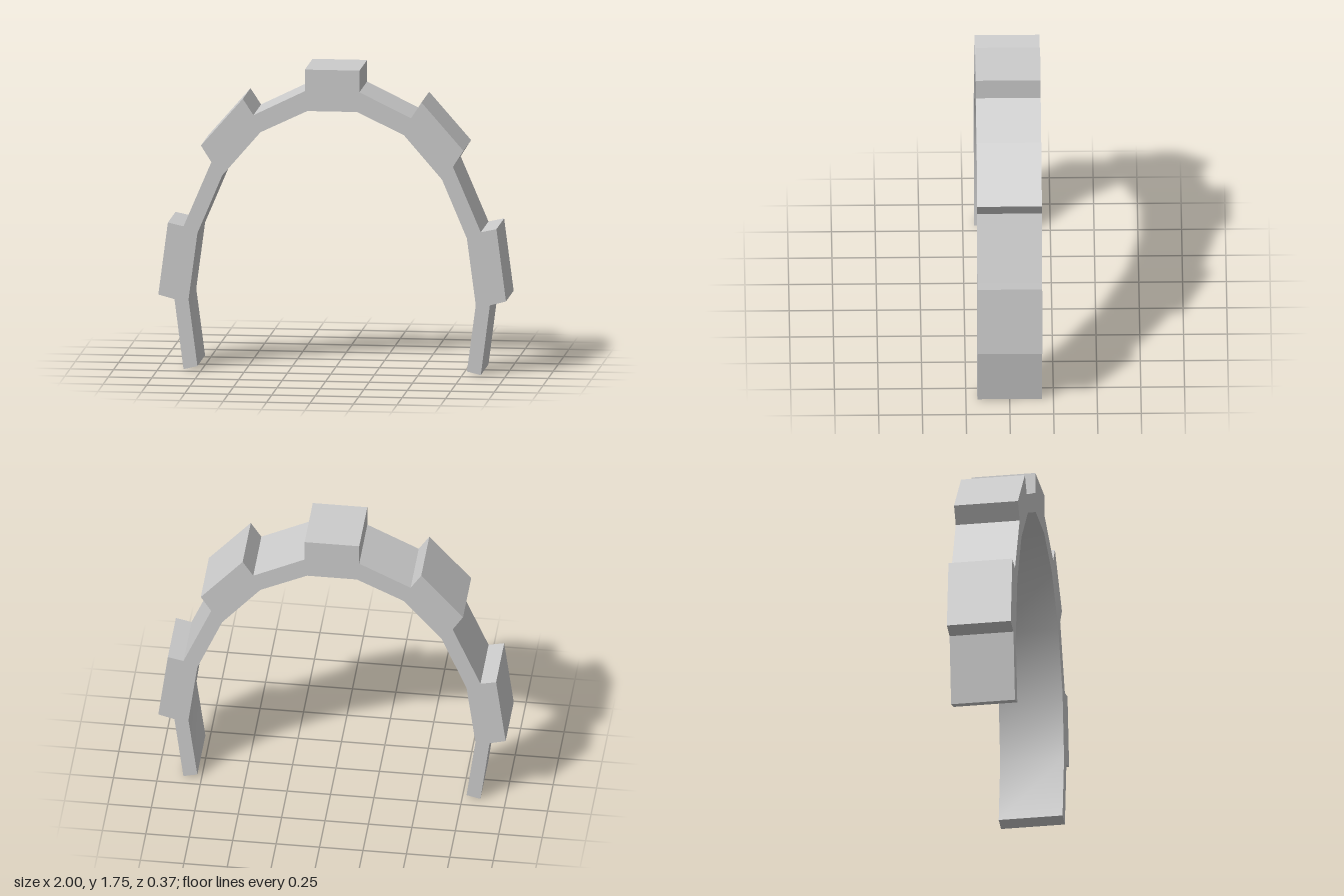
import * as THREE from 'three';
import { toCreasedNormals } from 'three/addons/utils/BufferGeometryUtils.js';

const DEPTH = 0.37;

// Half of the arch outline, from the foot up to the crown
const outer = [
  [0.855, 0], [0.907, 0.405],                                  // foot
  [1, 0.43], [0.945, 0.848], [0.855, 0.828],                   // lower raised block
  [0.695, 1.203],
  [0.755, 1.298], [0.514, 1.573], [0.453, 1.48],               // upper raised block
  [0.157, 1.625], [0.157, 1.75],                               // keystone
];
const inner = [
  [0.775, 0.02], [0.826, 0.405], [0.775, 0.79],
  [0.632, 1.128], [0.412, 1.382], [0.143, 1.51],
];

const mirror = (points) => points.map(([x, y]) => [-x, y]).reverse();

export function createModel() {
  const group = new THREE.Group();
  group.name = 'arch';

  // Closed outline: up the left, down the right, back along the underside
  const outline = [...outer, ...mirror(outer), ...mirror(inner).reverse(), ...[...inner].reverse()];
  const shape = new THREE.Shape(outline.map(([x, y]) => new THREE.Vector2(x, y)));
  const extruded = new THREE.ExtrudeGeometry(shape, { depth: DEPTH, bevelEnabled: false });
  extruded.translate(0, 0, -DEPTH / 2);

  // Smooth underside, sharp edges on the raised blocks
  const geometry = toCreasedNormals(extruded, 0.6);
  const ring = new THREE.Mesh(geometry, new THREE.MeshStandardMaterial({ color: 0xcccccc }));
  ring.name = 'archRing';
  group.add(ring);
  return group;
}
